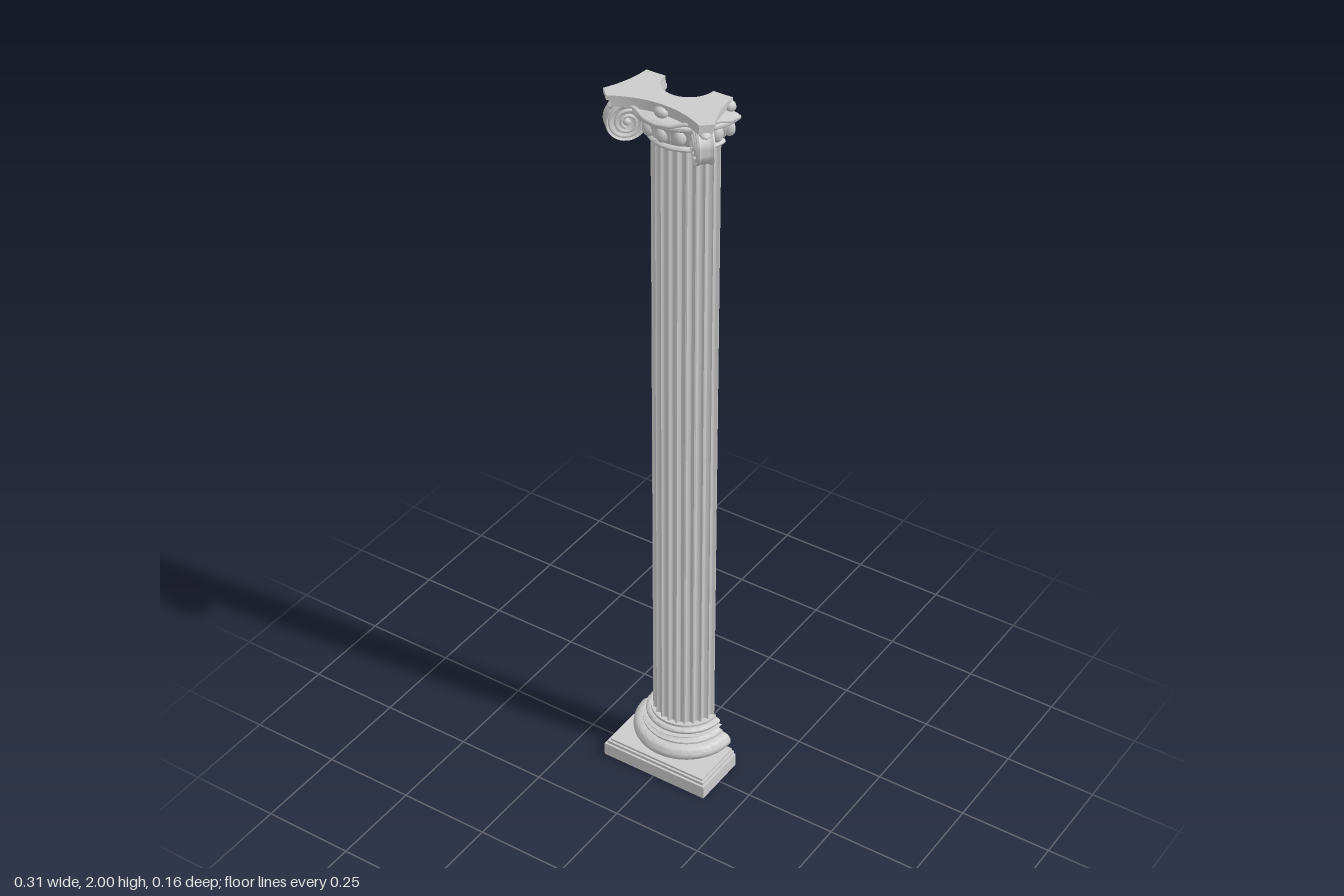
import * as THREE from 'three';
import { toCreasedNormals } from 'three/addons/utils/BufferGeometryUtils.js';

const material = new THREE.MeshStandardMaterial({ color: 0xcccccc, side: THREE.DoubleSide });
const V2 = (x, y) => new THREE.Vector2(x, y);
const V3 = (x, y, z) => new THREE.Vector3(x, y, z);

function add(parent, name, geometry, x = 0, y = 0, z = 0) {
  const mesh = new THREE.Mesh(geometry, material);
  mesh.name = name;
  mesh.position.set(x, y, z);
  parent.add(mesh);
  return mesh;
}

// Half a turned ring (z >= 0) from a closed profile, with flat faces where it is cut
function halfTurned(parent, name, profile) {
  const group = new THREE.Group();
  group.name = name;
  const ring = new THREE.LatheGeometry([...profile, profile[0]], 48, -Math.PI / 2, Math.PI);
  add(group, name + 'Surface', toCreasedNormals(ring, 0.7));
  for (const s of [1, -1]) {
    add(group, name + 'CutFace', new THREE.ShapeGeometry(new THREE.Shape(profile))).scale.x = s;
  }
  parent.add(group);
}

// Plan outline (x, z) extruded downwards from the height top
function slab(parent, name, outline, top, height, scale = 1) {
  const geo = new THREE.ExtrudeGeometry(outline, { depth: height, bevelEnabled: false, curveSegments: 20 });
  geo.rotateX(Math.PI / 2);
  const mesh = add(parent, name, toCreasedNormals(geo, 0.6), 0, top, 0);
  mesh.scale.set(scale, 1, scale);
}

// Rounded moulding points from angle a to b
function bulge(r, y, rx, ry, a = -90, b = 90, n = 10) {
  return Array.from({ length: n + 1 }, (_, i) => {
    const t = THREE.MathUtils.degToRad(a + (b - a) * i / n);
    return V2(r + rx * Math.cos(t), y + ry * Math.sin(t));
  });
}

function buildBase(parent) {
  const block = (name, w, y0, y1) =>
    add(parent, name, new THREE.BoxGeometry(2 * w, y1 - y0, w), 0, (y0 + y1) / 2, w / 2);
  block('plinth', 0.157, 0, 0.038);
  block('plinthStep', 0.151, 0.038, 0.046);
  block('plinthTop', 0.145, 0.046, 0.052);
  halfTurned(parent, 'baseMouldings', [
    V2(0.056, 0.05), V2(0.122, 0.05),
    ...bulge(0.118, 0.076, 0.023, 0.022),
    V2(0.115, 0.098), V2(0.115, 0.103),
    ...bulge(0.113, 0.112, -0.012, 0.009, -90, 90, 6),
    V2(0.104, 0.121), ...bulge(0.098, 0.13, 0.009, 0.008),
    V2(0.094, 0.138), V2(0.094, 0.145), V2(0.056, 0.145),
  ]);
}

function buildShaft(parent) {
  // Twelve flutes with flat fillets on the half circle
  const outline = new THREE.Shape();
  const steps = 12 * 12;
  for (let i = 0; i <= steps; i++) {
    const u = ((i % 12) / 12 - 0.5) / 0.38;
    const r = 0.088 - 0.009 * Math.sqrt(Math.max(0, 1 - u * u));
    const a = Math.PI * i / steps;
    if (i) outline.lineTo(r * Math.cos(a), r * Math.sin(a));
    else outline.moveTo(r, 0);
  }
  outline.lineTo(-0.057, 0);
  outline.absarc(0, 0, 0.057, Math.PI, 0, true);
  outline.closePath();
  slab(parent, 'flutedShaft', outline, 1.876, 1.736);
}

function buildAbacus(parent) {
  const s = new THREE.Shape();
  s.moveTo(0.117, 0);
  s.quadraticCurveTo(0.118, 0.0625, 0.15, 0.125);
  s.lineTo(0.125, 0.15);
  s.quadraticCurveTo(0, 0.08, -0.125, 0.15);
  s.lineTo(-0.15, 0.125);
  s.quadraticCurveTo(-0.118, 0.0625, -0.117, 0);
  s.lineTo(-0.065, 0);
  s.absarc(0, 0, 0.065, Math.PI, 0, true);
  slab(parent, 'abacusTop', s, 2, 0.012);
  slab(parent, 'abacusMiddle', s, 1.988, 0.007, 0.965);
  slab(parent, 'abacusLower', s, 1.981, 0.012, 0.93);
}

// Corner volute: a disc in the diagonal plane with a spiral on both faces
function buildVolute() {
  const volute = new THREE.Group();
  volute.name = 'volute';
  const rim = [[0, -0.014], [0.043, -0.016], [0.048, -0.02], [0.05, -0.016], [0.046, -0.008], [0.048, 0],
    [0.046, 0.008], [0.05, 0.016], [0.048, 0.02], [0.043, 0.016], [0, 0.014]].map(p => V2(...p));
  add(volute, 'voluteDisc', toCreasedNormals(new THREE.LatheGeometry(rim, 36).rotateX(Math.PI / 2), 0.9));
  const points = Array.from({ length: 49 }, (_, i) => {
    const t = i / 48, a = 2 - t * 5 * Math.PI, r = 0.046 - 0.034 * Math.pow(t, 0.85);
    return V3(r * Math.cos(a), r * Math.sin(a), 0.017 + 0.005 * t);
  });
  const spiral = new THREE.TubeGeometry(new THREE.CatmullRomCurve3(points), 120, 0.0042, 6);
  for (const s of [1, -1]) {
    add(volute, 'voluteSpiral', spiral).scale.z = s;
    add(volute, 'voluteEye', new THREE.SphereGeometry(0.009, 12, 8), 0, 0, 0.017 * s);
  }
  // Leaf tucked between the volute and the abacus corner
  const leaf = new THREE.SphereGeometry(1, 12, 8).scale(0.03, 0.009, 0.017);
  add(volute, 'cornerLeaf', leaf, 0.016, 0.044, 0).rotation.z = -0.35;
  volute.rotation.y = -Math.PI / 4;
  volute.position.set(0.104, 1.927, 0.104);
  return volute;
}

function buildCapital(parent) {
  halfTurned(parent, 'echinus', [
    V2(0.065, 1.872), V2(0.09, 1.872), ...bulge(0.092, 1.881, 0.008, 0.007),
    V2(0.095, 1.89), V2(0.104, 1.9), V2(0.112, 1.917), V2(0.118, 1.938), V2(0.12, 1.944),
    ...bulge(0.125, 1.955, 0.014, 0.01), V2(0.105, 1.97), V2(0.065, 1.97),
  ]);

  // Eggs and darts around the echinus, halved on the cut plane
  for (let i = -4; i <= 4; i++) {
    const a = i * Math.PI / 8, half = Math.abs(i) === 4;
    const egg = new THREE.SphereGeometry(1, 16, 12, 0, half ? Math.PI : 2 * Math.PI);
    add(parent, 'egg', egg.scale(0.016, 0.022, 0.016),
      0.11 * Math.sin(a), 1.922, half ? 0 : 0.11 * Math.cos(a));
    if (i < 4) {
      const b = a + Math.PI / 16;
      add(parent, 'dart', new THREE.ConeGeometry(0.006, 0.042, 6).rotateX(Math.PI),
        0.113 * Math.sin(b), 1.922, 0.113 * Math.cos(b));
    }
  }

  // Corners: volute plus the draped bands running to the middle of each side
  const band = [[0, 1.957, 0.136], [0.035, 1.961, 0.132], [0.065, 1.97, 0.121], [0.088, 1.972, 0.115]];
  for (const s of [1, -1]) {
    const corner = new THREE.Group();
    corner.name = s > 0 ? 'leftCorner' : 'rightCorner';
    corner.add(buildVolute());
    for (const swap of [false, true]) {
      const path = new THREE.CatmullRomCurve3(band.map(([x, y, z]) => swap ? V3(z, y, x) : V3(x, y, z)));
      add(corner, 'voluteBand', new THREE.TubeGeometry(path, 16, 0.005, 8));
    }
    corner.scale.x = s;
    parent.add(corner);
    // Halved flower on the side of the abacus
    const flower = new THREE.SphereGeometry(1, 14, 10, 0, Math.PI).scale(0.012, 0.014, 0.018);
    add(parent, 'sideFlower', flower, 0.115 * s, 1.979, 0);
  }
  add(parent, 'frontFlower', new THREE.SphereGeometry(1, 14, 10).scale(0.018, 0.014, 0.012), 0, 1.979, 0.115);
}

export function createModel() {
  const column = new THREE.Group();
  column.name = 'halfColumn';
  buildBase(column);
  buildShaft(column);
  buildCapital(column);
  buildAbacus(column);
  column.position.z = -0.0785;
  const model = new THREE.Group();
  model.name = 'flutedHalfColumn';
  model.add(column);
  return model;
}
